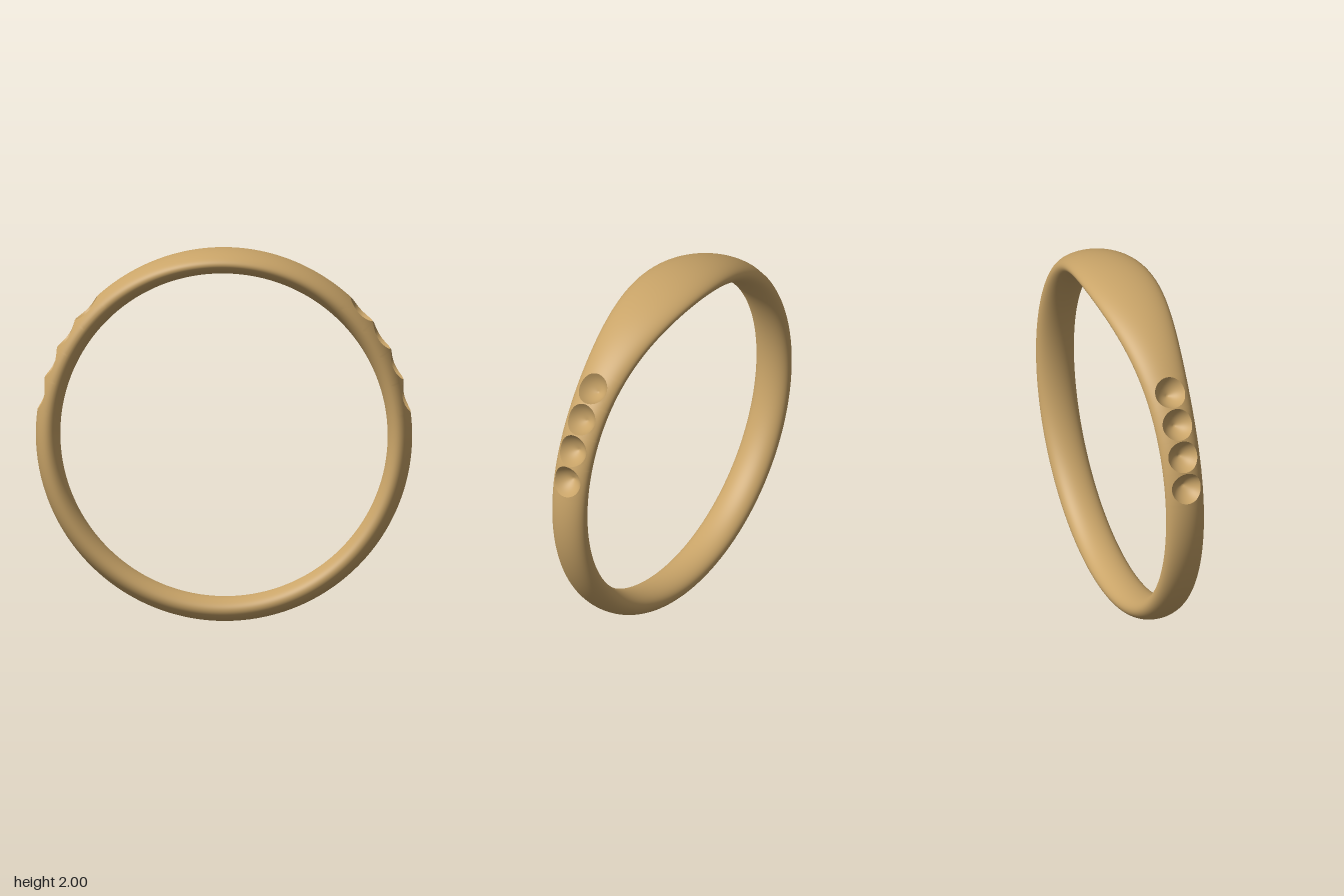
import * as THREE from 'three';
import { mergeVertices } from 'three/addons/utils/BufferGeometryUtils.js';

const DEG = Math.PI / 180;
const SEAT_RADIUS = 0.085, SEAT_STEP = 10.13, FIRST_SEAT = 12.4;
const CELL_U = 14, CELL_V = 36;

// Point on the band: a = degrees round the ring, t = degrees round its oval section
function bandPoint(a, t) {
  const fromTop = Math.abs(((a - 90 + 540) % 360) - 180);
  const halfWidth = 0.105 + 0.085 * Math.exp(-((fromTop / 36) ** 2));
  const r = 0.935 + 0.065 * Math.cos(t * DEG);
  return new THREE.Vector3(r * Math.cos(a * DEG), 1 + r * Math.sin(a * DEG), halfWidth * Math.sin(t * DEG));
}

function pushQuad(out, a, b, c, d) {
  for (const p of [a, b, c, a, c, d]) out.push(p.x, p.y, p.z);
}

// Regular patch of the band
function addPatch(out, a0, a1, nu, t0, t1, nv) {
  const at = (i, j) => bandPoint(a0 + ((a1 - a0) * i) / nu, t0 + ((t1 - t0) * j) / nv);
  for (let i = 0; i < nu; i++)
    for (let j = 0; j < nv; j++) pushQuad(out, at(i, j), at(i + 1, j), at(i + 1, j + 1), at(i, j + 1));
}

// Strips joining consecutive closed loops, ordered from inner to outer
function addLoops(out, loops) {
  for (let k = 0; k + 1 < loops.length; k++) {
    const inner = loops[k], outer = loops[k + 1], n = inner.length;
    for (let i = 0; i < n; i++) {
      const j = (i + 1) % n;
      pushQuad(out, inner[i], outer[i], outer[j], inner[j]);
    }
  }
}

// Outer patch of the band with a round stone seat sunk into it
function addSeatCell(band, seat, angle) {
  const h = SEAT_STEP / 2, edge = [];
  for (let i = 0; i < CELL_U; i++) edge.push([-h + (2 * h * i) / CELL_U, -90]);
  for (let i = 0; i < CELL_V; i++) edge.push([h, -90 + (180 * i) / CELL_V]);
  for (let i = 0; i < CELL_U; i++) edge.push([h - (2 * h * i) / CELL_U, 90]);
  for (let i = 0; i < CELL_V; i++) edge.push([-h, 90 - (180 * i) / CELL_V]);

  // Find the rim along each ray from the seat centre to the patch edge
  const centre = bandPoint(angle, 0);
  const along = (e, f) => bandPoint(angle + e[0] * f, e[1] * f);
  const rim = edge.map((e) => {
    let lo = 0, hi = 0.99;
    for (let k = 0; k < 30; k++) {
      const mid = (lo + hi) / 2;
      if (along(e, mid).distanceTo(centre) < SEAT_RADIUS) lo = mid; else hi = mid;
    }
    return lo;
  });
  const around = [];
  for (let k = 0; k <= 6; k++) around.push(edge.map((e, i) => along(e, rim[i] + ((1 - rim[i]) * k) / 6)));
  addLoops(band, around);

  // Rounded cone from the tip out to the rim
  const axis = new THREE.Vector3(Math.cos(angle * DEG), Math.sin(angle * DEG), 0);
  const tip = centre.clone().addScaledVector(axis, -SEAT_RADIUS);
  const bowl = [];
  for (let k = 0; k <= 10; k++)
    bowl.push(around[0].map((p) => {
      const straight = tip.clone().lerp(p, k / 10);
      const round = straight.clone().sub(centre).setLength(SEAT_RADIUS).add(centre);
      return straight.lerp(round, 0.5);
    }));
  addLoops(seat, bowl);
}

function smoothMesh(positions, name, material) {
  let geometry = new THREE.BufferGeometry();
  geometry.setAttribute('position', new THREE.Float32BufferAttribute(positions, 3));
  geometry = mergeVertices(geometry, 1e-5);
  geometry.computeVertexNormals();
  const mesh = new THREE.Mesh(geometry, material);
  mesh.name = name;
  return mesh;
}

export function createModel() {
  const group = new THREE.Group();
  group.name = 'ring';
  const gold = new THREE.MeshStandardMaterial({ color: 0xc9a468 });
  const band = [];

  // Plain top and bottom stretches of the band
  const start = FIRST_SEAT - SEAT_STEP / 2, end = start + 4 * SEAT_STEP;
  addPatch(band, end, 180 - end, 80, -90, 270, CELL_V * 2);
  addPatch(band, 180 - start, 360 + start, 160, -90, 270, CELL_V * 2);

  // Shoulders: four seats on each side, plain on the inside
  for (const side of [1, -1]) {
    for (let k = 0; k < 4; k++) {
      const a = FIRST_SEAT + k * SEAT_STEP;
      const angle = side > 0 ? a : 180 - a;
      const seat = [];
      addSeatCell(band, seat, angle);
      addPatch(band, angle - SEAT_STEP / 2, angle + SEAT_STEP / 2, CELL_U, 90, 270, CELL_V);
      group.add(smoothMesh(seat, (side > 0 ? 'left' : 'right') + 'StoneSeat' + (k + 1), gold));
    }
  }
  group.add(smoothMesh(band, 'band', gold));
  return group;
}
